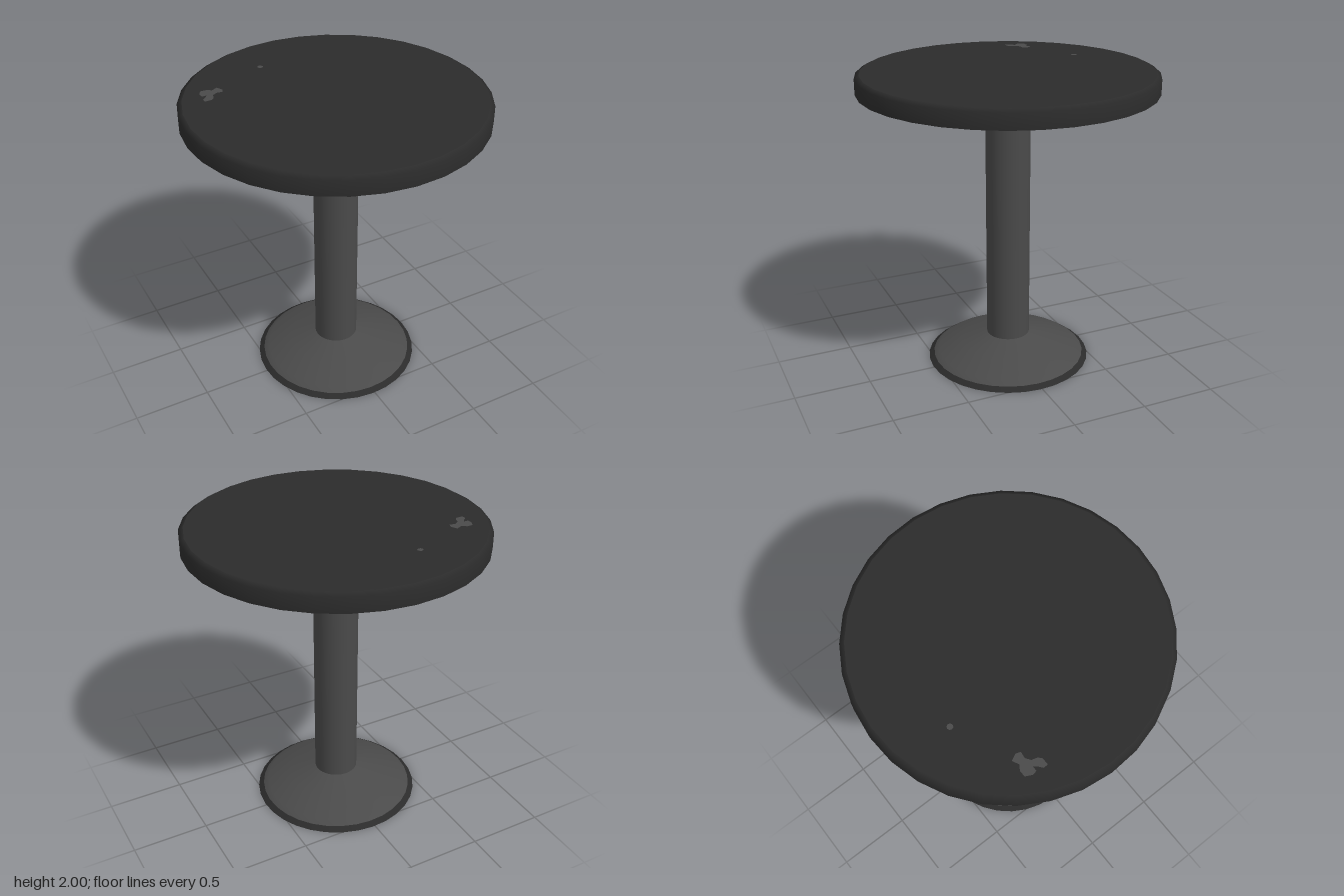
import * as THREE from 'three';

const SIDES = 32;
const TURN = -0.03; // slight turn of the facets about the vertical axis

export function createModel() {
  const table = new THREE.Group();
  table.name = 'pedestalTable';

  const charcoal = new THREE.MeshStandardMaterial({ color: 0x2b2b2b });
  charcoal.name = 'charcoal';
  const grey = new THREE.MeshStandardMaterial({ color: 0x4a4a4a });
  grey.name = 'grey';

  const add = (parent, name, geometry, material) => {
    const mesh = new THREE.Mesh(geometry, material);
    mesh.name = name;
    parent.add(mesh);
    return mesh;
  };
  const group = (name) => {
    const g = new THREE.Group();
    g.name = name;
    table.add(g);
    return g;
  };
  // Surface of revolution from [radius, height] pairs, listed bottom to top
  const turned = (profile) =>
    new THREE.LatheGeometry(profile.map(([r, y]) => new THREE.Vector2(r, y)), SIDES, TURN, Math.PI * 2);

  // Tabletop: flat underside, edge with a small bevel, flat top
  const top = group('tabletop');
  add(top, 'tabletopUnderside', turned([[0, 1.88], [0.955, 1.88]]), charcoal);
  add(top, 'tabletopEdge', turned([[0.955, 1.88], [0.955, 1.98], [0.925, 1.998]]), charcoal);
  add(top, 'tabletopSurface', turned([[0.925, 1.998], [0, 1.998]]), charcoal);

  // Worn patches lying on the tabletop
  const outline = [
    [-0.72, 0.4], [-0.7, 0.44], [-0.66, 0.44], [-0.63, 0.42], [-0.59, 0.44], [-0.57, 0.4],
    [-0.58, 0.37], [-0.62, 0.375], [-0.65, 0.355], [-0.66, 0.32], [-0.68, 0.3],
    [-0.725, 0.3], [-0.725, 0.33], [-0.7, 0.35], [-0.685, 0.37], [-0.715, 0.37],
  ].map(([x, y]) => new THREE.Vector2(x, y));
  const large = add(top, 'largeWornPatch', new THREE.ShapeGeometry(new THREE.Shape(outline)), grey);
  const small = add(top, 'smallWornPatch', new THREE.CircleGeometry(0.019, 8), grey);
  small.position.set(-0.23, 0, -0.585);
  for (const patch of [large, small]) {
    patch.rotation.x = -Math.PI / 2;
    patch.position.y = 2;
  }

  // Column
  add(table, 'column', turned([[0.145, 0.16], [0.145, 1.88]]), grey);

  // Domed foot with a dark rim and underside
  const foot = group('foot');
  add(foot, 'footDome', turned([[0.515, 0.025], [0.48, 0.05], [0.32, 0.115], [0.145, 0.17]]), grey);
  add(foot, 'footRim', turned([[0.55, 0], [0.515, 0.025]]), charcoal);
  add(foot, 'footUnderside', turned([[0, 0], [0.55, 0]]), charcoal);

  return table;
}
